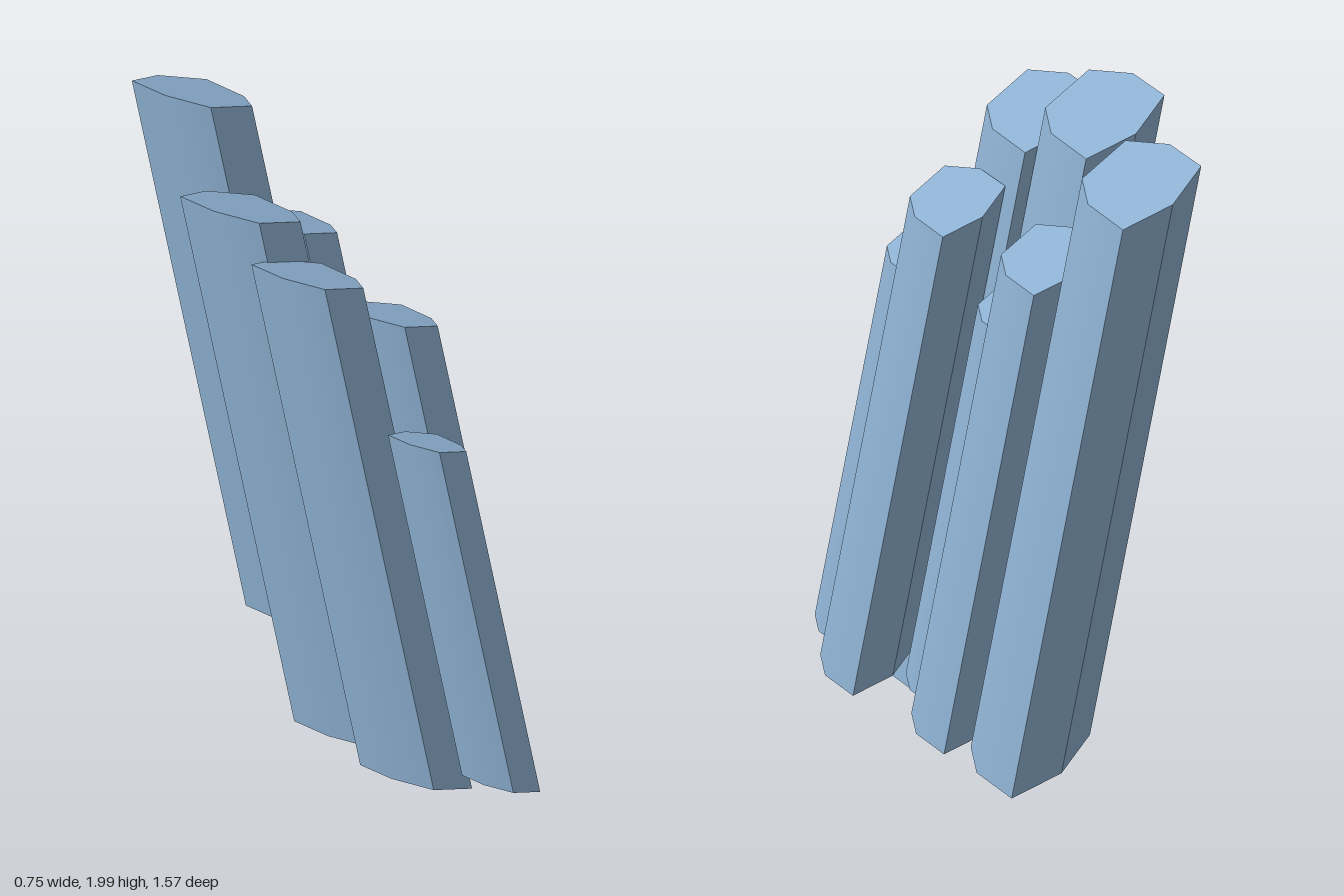
import * as THREE from 'three';
import { toCreasedNormals } from 'three/addons/utils/BufferGeometryUtils.js';

// Seven-sided cross-section (x, z), measured from its back corner
const SECTION = [
  [-0.28, 0.03], [-0.15, -0.03], [0, 0], [0.025, 0.16],
  [-0.01, 0.255], [-0.17, 0.28], [-0.255, 0.17],
];
// Sideways drift of a column per unit of descent, and slope of its end faces
const DRIFT_X = 0.114, DRIFT_Z = 0.155;
const SLOPE_X = -0.45, SLOPE_Z = 0.26;

// Leaning prism with parallel slanted ends
function columnGeometry(scale, drop) {
  const n = SECTION.length;
  const top = SECTION.map(([x, z]) => [
    x * scale, (SLOPE_X * x + SLOPE_Z * z) * scale, z * scale,
  ]);
  const bottom = top.map(([x, y, z]) => [x + DRIFT_X * drop, y - drop, z + DRIFT_Z * drop]);
  const pos = [];
  const tri = (a, b, c) => pos.push(...a, ...b, ...c);
  for (let i = 0; i < n; i++) {
    const j = (i + 1) % n;
    tri(top[i], top[j], bottom[j]);
    tri(top[i], bottom[j], bottom[i]);
  }
  for (let i = 1; i < n - 1; i++) {
    tri(top[0], top[i + 1], top[i]);
    tri(bottom[0], bottom[i], bottom[i + 1]);
  }
  const geo = new THREE.BufferGeometry();
  geo.setAttribute('position', new THREE.Float32BufferAttribute(pos, 3));
  return toCreasedNormals(geo, 0.56);
}

export function createModel() {
  const group = new THREE.Group();
  group.name = 'columnCluster';
  const stone = new THREE.MeshStandardMaterial({ color: 0x8fb3d4 });
  stone.name = 'blueStone';

  // name, top corner x, y, z, scale, drop
  const columns = [
    ['tallBackColumn', 0.09, 1.84, -0.76, 1, 1.835],
    ['tallMiddleColumn', -0.095, 1.84, -0.225, 1, 1.835],
    ['tallFrontColumn', -0.06, 1.765, 0.07, 0.93, 1.75],
    ['mediumBackColumn', 0.19, 1.535, -0.415, 0.8, 1.48],
    ['mediumFrontColumn', 0.19, 1.535, 0.115, 0.8, 1.48],
    ['shortMiddleColumn', 0.115, 1.285, -0.115, 0.65, 1.19],
    ['shortFrontColumn', 0.115, 1.285, 0.415, 0.65, 1.19],
  ];
  for (const [name, x, y, z, scale, drop] of columns) {
    const mesh = new THREE.Mesh(columnGeometry(scale, drop), stone);
    mesh.name = name;
    mesh.position.set(x, y, z);
    group.add(mesh);
  }
  return group;
}
